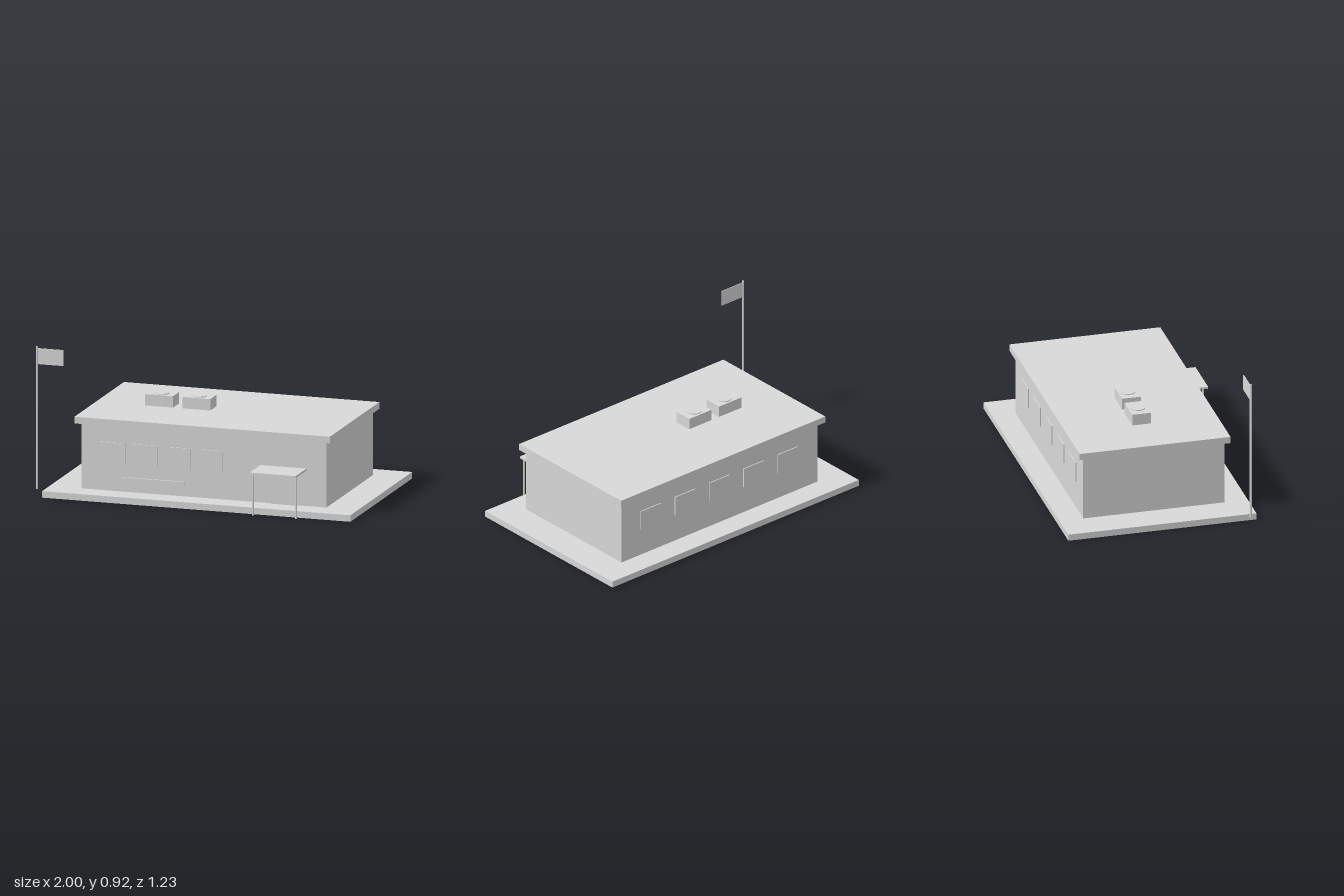
import * as THREE from 'three';

export function createModel() {
  const model = new THREE.Group();
  model.name = 'building';
  const grey = new THREE.MeshStandardMaterial({ color: 0xd8d8d8, side: THREE.DoubleSide });
  grey.name = 'plain grey';

  const add = (name, geometry, parent = model) => {
    const mesh = new THREE.Mesh(geometry, grey);
    mesh.name = name;
    parent.add(mesh);
    return mesh;
  };

  // Box given by its lower and upper bounds on each axis
  const box = (name, x0, x1, y0, y1, z0, z1, parent) => {
    const mesh = add(name, new THREE.BoxGeometry(x1 - x0, y1 - y0, z1 - z0), parent);
    mesh.position.set((x0 + x1) / 2, (y0 + y1) / 2, (z0 + z1) / 2);
    return mesh;
  };

  const post = (name, x, z, y0, y1, radius, sides, parent) => {
    const mesh = add(name, new THREE.CylinderGeometry(radius, radius, y1 - y0, sides), parent);
    mesh.position.set(x, (y0 + y1) / 2, z);
    return mesh;
  };

  // Base slab: a shell left open underneath (the fourth box face is dropped)
  const slab = box('baseSlab', -0.945, 1, 0, 0.04, -0.613, 0.553);
  const faces = Array.from(slab.geometry.index.array);
  faces.splice(18, 6);
  slab.geometry.setIndex(faces);
  slab.geometry.clearGroups();

  // Main masses
  box('walls', -0.745, 0.802, 0.04, 0.443, -0.467, 0.41);
  box('roof', -0.78, 0.832, 0.443, 0.484, -0.498, 0.437);

  // Thin window panels
  const windows = new THREE.Group();
  windows.name = 'windows';
  model.add(windows);
  const pane = (name, x, z0, z1) =>
    box(name, x - 0.079, x + 0.079, 0.213, 0.337, z0, z1, windows);
  for (let i = 0; i < 4; i++) pane('frontWindow', -0.545 + i * 0.205, 0.4, 0.416);
  for (let i = 0; i < 5; i++) pane('backWindow', 0.573 - i * 0.27, -0.473, -0.457);

  // Plain panel below the front windows
  box('frontPanel', -0.482, -0.092, 0.108, 0.13, 0.4, 0.42);

  // Entrance: door, canopy and its two posts
  const entrance = new THREE.Group();
  entrance.name = 'entrance';
  model.add(entrance);
  box('door', 0.452, 0.61, 0.025, 0.232, 0.4, 0.423, entrance);
  box('canopy', 0.385, 0.675, 0.257, 0.27, 0.405, 0.613, entrance);
  for (const x of [0.396, 0.668]) post('canopyPost', x, 0.584, 0, 0.258, 0.006, 6, entrance);

  // Rooftop air units with round fan covers
  for (const x of [-0.382, -0.147]) {
    const unit = new THREE.Group();
    unit.name = 'roofUnit';
    model.add(unit);
    box('unitBody', x - 0.088, x + 0.088, 0.484, 0.554, -0.088, 0.029, unit);
    post('fanCover', x, -0.03, 0.552, 0.559, 0.045, 24, unit);
  }

  // Flagpole and flag
  post('flagpole', -0.993, 0.505, 0.04, 0.916, 0.007, 6);
  box('flag', -0.988, -0.826, 0.808, 0.906, 0.503, 0.507);

  return model;
}
